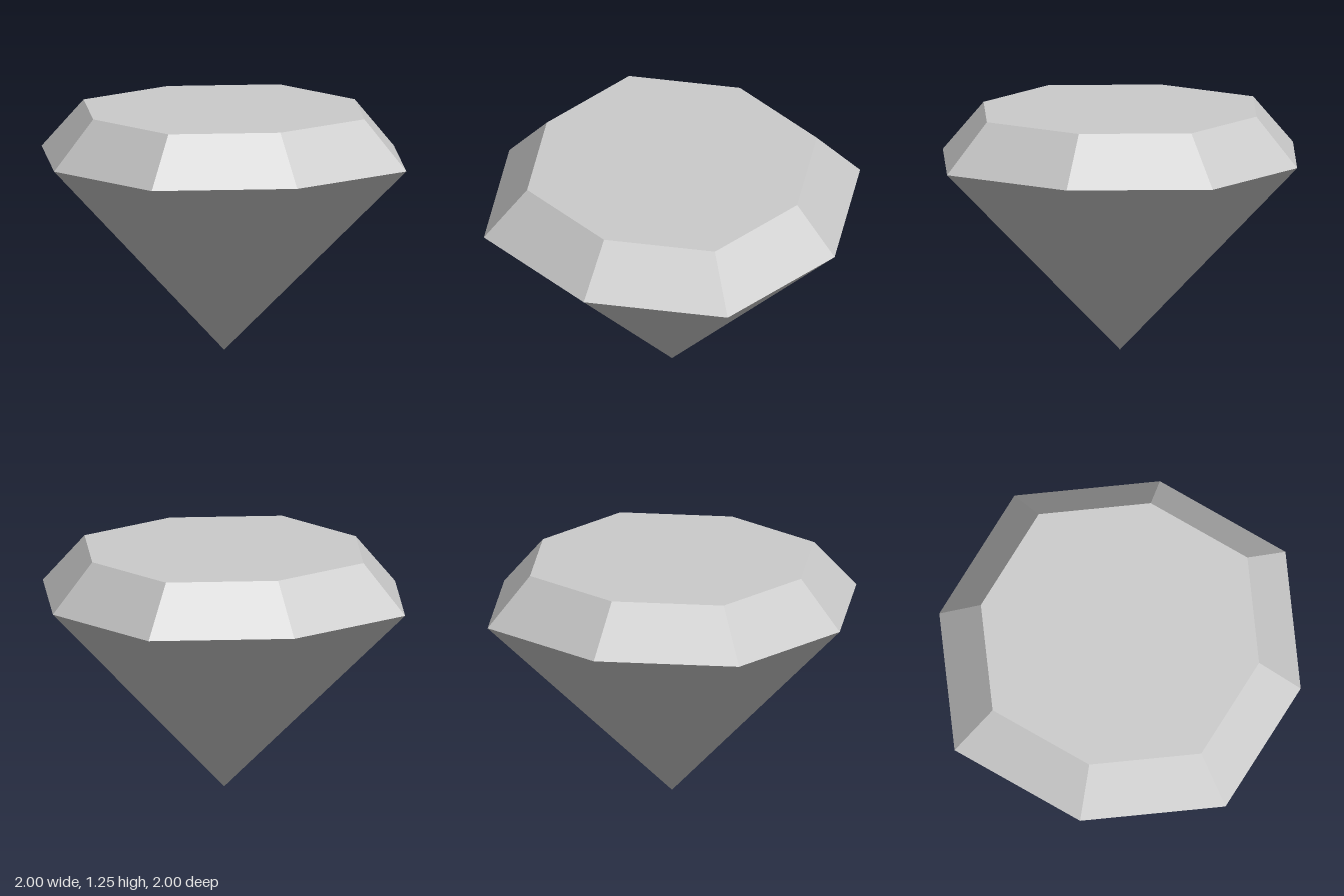
import * as THREE from 'three';

const TIP = 0, GIRDLE = 0.99, TOP = 1.245;
const GIRDLE_R = 1, TABLE_R = 0.77, DIAGONAL = 0.943;

// Pull the four diagonal corners of the octagon slightly inward
function facet(geometry) {
  const flat = geometry.toNonIndexed();
  const p = flat.attributes.position;
  for (let i = 0; i < p.count; i++) {
    const x = p.getX(i), z = p.getZ(i);
    if (Math.abs(x * z) > 1e-4) p.setXYZ(i, x * DIAGONAL, p.getY(i), z * DIAGONAL);
  }
  flat.computeVertexNormals();
  return flat;
}

// Eight-sided open band between two heights
function band(rTop, rBottom, yTop, yBottom) {
  const g = new THREE.CylinderGeometry(rTop, rBottom, yTop - yBottom, 8, 1, true);
  g.translate(0, (yTop + yBottom) / 2, 0);
  return facet(g);
}

export function createModel() {
  const group = new THREE.Group();
  group.name = 'cutGem';
  const gemGrey = new THREE.MeshStandardMaterial({ color: 0xcccccc });
  gemGrey.name = 'gemGrey';
  gemGrey.flatShading = true;

  const add = (name, geometry) => {
    const mesh = new THREE.Mesh(geometry, gemGrey);
    mesh.name = name;
    group.add(mesh);
  };

  // Lower point, sloping upper rim and flat top
  add('pavilion', band(GIRDLE_R, 0, GIRDLE, TIP));
  add('crown', band(TABLE_R, GIRDLE_R, TOP, GIRDLE));
  add('table', facet(new THREE.CircleGeometry(TABLE_R, 8).rotateX(-Math.PI / 2).translate(0, TOP, 0)));

  return group;
}
